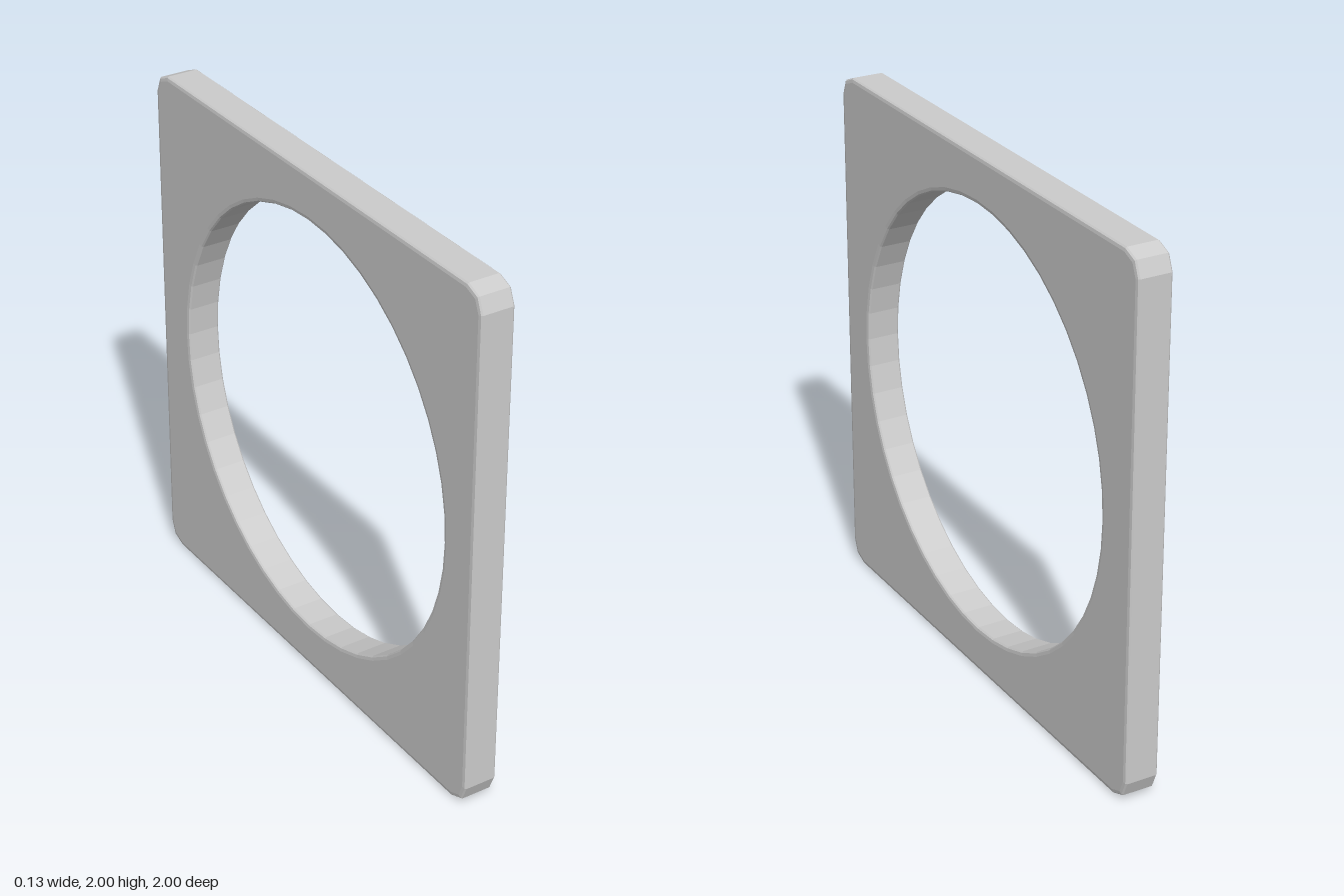
import * as THREE from 'three';

export function createModel() {
  const group = new THREE.Group();
  group.name = 'squareFrame';
  const half = 0.065, bevel = 0.008, bevelWidth = 0.016;

  // Square outline with two-step clipped corners
  const outline = [];
  for (let i = 0; i < 4; i++) {
    for (const [x, y] of [[1, 0.92], [0.977, 0.977], [0.92, 1]]) {
      outline.push(new THREE.Vector2(x, y).rotateAround(new THREE.Vector2(), i * Math.PI / 2));
    }
  }
  const shape = new THREE.Shape(outline);

  // Large round opening, slightly off centre
  const hole = new THREE.Path();
  hole.absarc(0.01, 0, 0.825, 0, Math.PI * 2, true);
  shape.holes.push(hole);

  // Thin plate with softened rims on both faces
  const depth = 2 * (half - bevel);
  const geometry = new THREE.ExtrudeGeometry(shape, {
    depth, curveSegments: 24, bevelEnabled: true, bevelSegments: 2,
    bevelThickness: bevel, bevelSize: bevelWidth, bevelOffset: -bevelWidth,
  });
  geometry.translate(0, 0, -depth / 2);
  geometry.rotateY(-Math.PI / 2);
  geometry.translate(0, 1, 0);

  const plate = new THREE.Mesh(geometry, new THREE.MeshStandardMaterial({ color: 0xcccccc, flatShading: true }));
  plate.name = 'framePlate';
  group.add(plate);
  return group;
}
